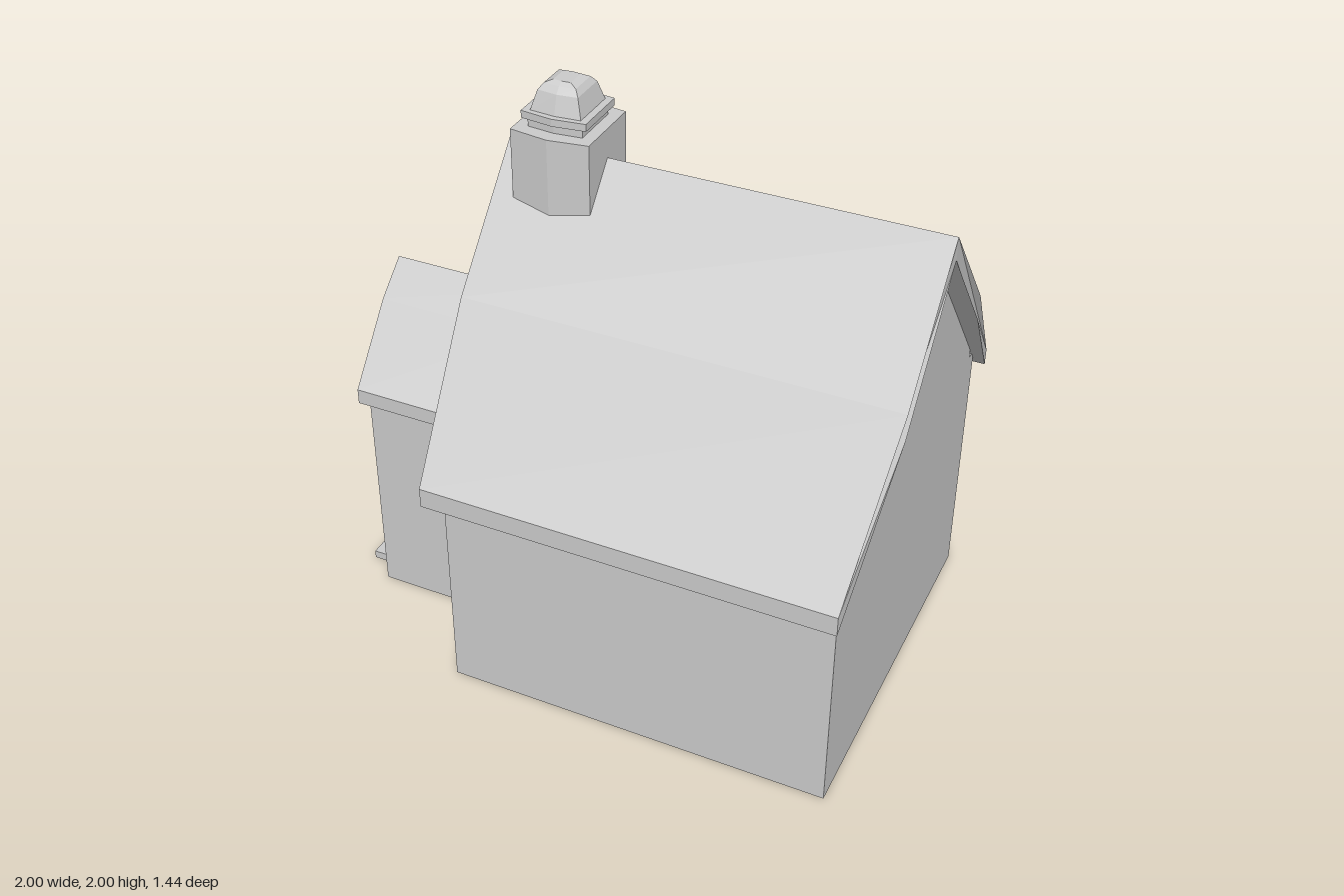
import * as THREE from 'three';

const material = new THREE.MeshStandardMaterial({ color: 0xcccccc, flatShading: true });
const RIDGE_Z = -0.03;

function add(group, name, geometry) {
  const mesh = new THREE.Mesh(geometry, material);
  mesh.name = name;
  group.add(mesh);
  return mesh;
}

// Closed outline from [x, y] points
const outline = (pts, Type = THREE.Shape) => new Type(pts.map(([a, b]) => new THREE.Vector2(a, b)));

// Extrude a [z, y] section along x from x0 to x1, optionally with a hole
function extrudeX(section, x0, x1, hole) {
  const flip = (pts) => pts.map(([z, y]) => [-z, y]);
  const shape = outline(flip(section));
  if (hole) shape.holes.push(outline(flip(hole), THREE.Path));
  return new THREE.ExtrudeGeometry(shape, { depth: x1 - x0, bevelEnabled: false })
    .rotateY(Math.PI / 2).translate(x0, 0, 0);
}

// Arched opening between a0 and a1, rising from spring to top
function arch(a0, a1, bottom, spring, top) {
  const pts = [[a0, bottom], [a1, bottom]], mid = (a0 + a1) / 2, half = (a1 - a0) / 2;
  for (let i = 0; i <= 6; i++) {
    const t = (i / 6) * Math.PI;
    pts.push([mid + half * Math.cos(t), spring + (top - spring) * Math.sin(t)]);
  }
  return pts;
}

// Pull the roof ends in towards the eaves
function taperEnds(geometry, start, end, left, right) {
  const p = geometry.attributes.position;
  const middle = (geometry.boundingBox.min.x + geometry.boundingBox.max.x) / 2;
  for (let i = 0; i < p.count; i++) {
    const t = Math.max(0, (Math.abs(p.getZ(i) - RIDGE_Z) - start) / (end - start));
    p.setX(i, p.getX(i) + (p.getX(i) < middle ? left : -right) * t);
  }
  geometry.computeVertexNormals();
  return geometry;
}

function roof(section, x0, x1, start, end, left, right) {
  const geometry = extrudeX(section, x0, x1);
  geometry.computeBoundingBox();
  return taperEnds(geometry, start, end, left, right);
}

// Stacked six-sided rings [y, halfX, halfZ, bulge] joined into a closed solid
function loft(rings, cx, cz) {
  const pos = [], n = 6;
  const corners = rings.map(([y, hx, hz, bulge]) => [
    [-hx, hz], [0, hz + bulge], [hx, hz], [hx, -hz], [0, -hz - bulge], [-hx, -hz],
  ].map(([x, z]) => [cx + x, y, cz + z]));
  for (let i = 0; i < n; i++) {
    const j = (i + 1) % n;
    for (let r = 0; r < rings.length - 1; r++) {
      const a = corners[r][i], b = corners[r][j], c = corners[r + 1][j], d = corners[r + 1][i];
      pos.push(...a, ...b, ...c, ...a, ...c, ...d);
    }
    const low = corners[0], high = corners[rings.length - 1];
    pos.push(cx, rings[0][0], cz, ...low[j], ...low[i]);
    pos.push(cx, rings[rings.length - 1][0], cz, ...high[i], ...high[j]);
  }
  const geometry = new THREE.BufferGeometry();
  geometry.setAttribute('position', new THREE.Float32BufferAttribute(pos, 3));
  geometry.computeVertexNormals();
  return geometry;
}

function box(x0, x1, y0, y1, z0, z1) {
  return new THREE.BoxGeometry(x1 - x0, y1 - y0, z1 - z0)
    .translate((x0 + x1) / 2, (y0 + y1) / 2, (z0 + z1) / 2);
}

export function createModel() {
  const model = new THREE.Group();
  model.name = 'chapel';

  // Main hall with a separate back wall that holds the window recesses
  const hall = new THREE.Group();
  hall.name = 'hall';
  model.add(hall);
  add(hall, 'hallWalls', extrudeX(
    [[0.63, 0], [0.63, 0.93], [RIDGE_Z, 1.71], [-0.635, 0.99], [-0.635, 0]], -0.42, 0.93));
  const backShape = outline([[-0.42, 0], [0.93, 0], [0.93, 0.93], [-0.42, 0.93]]);
  for (const [x0, x1] of [[0.52, 0.775], [-0.155, 0.08]]) {
    backShape.holes.push(outline(arch(x0, x1, 0.31, 0.68, 0.78), THREE.Path));
  }
  add(hall, 'backWallWithWindows', new THREE.ExtrudeGeometry(backShape, { depth: 0.05, bevelEnabled: false })
    .translate(0, 0, -0.685));
  add(hall, 'hallRoof', roof([
    [0.72, 0.79], [0.72, 0.86], [0.33, 1.345], [RIDGE_Z, 1.75], [-0.39, 1.34], [-0.72, 0.92],
    [-0.72, 0.86], [-0.39, 1.25], [RIDGE_Z, 1.67], [0.33, 1.25],
  ], -0.49, 1, 0.36, 0.75, 0.04, 0.04));

  // Entrance porch with an arched doorway
  const porch = new THREE.Group();
  porch.name = 'porch';
  model.add(porch);
  const porchSection = [[0.305, 0], [0.305, 0.85], [RIDGE_Z, 1.15], [-0.365, 0.85], [-0.365, 0]];
  add(porch, 'porchWalls', extrudeX(porchSection, -0.83, -0.42));
  add(porch, 'porchFrontWithDoorway',
    extrudeX(porchSection, -0.9, -0.83, arch(-0.16, 0.1, 0.06, 0.58, 0.65)));
  add(porch, 'porchRoof', roof([
    [0.335, 0.8], [0.335, 0.855], [0.09, 1.075], [RIDGE_Z, 1.18], [-0.15, 1.075], [-0.4, 0.855],
    [-0.4, 0.8], [-0.15, 1.02], [RIDGE_Z, 1.125], [0.09, 1.02],
  ], -0.955, -0.42, 0.12, 0.365, 0.03, 0));
  add(porch, 'lowerStep', box(-1, -0.88, 0, 0.03, -0.3, 0.23));
  add(porch, 'upperStep', box(-0.96, -0.88, 0.03, 0.06, -0.17, 0.1));

  // Ridge turret: shaft, neck, slab and faceted cap
  const turret = new THREE.Group();
  turret.name = 'turret';
  model.add(turret);
  const parts = {
    turretShaft: [[1.57, 0.137, 0.13, 0.02], [1.85, 0.137, 0.13, 0.02]],
    turretNeck: [[1.85, 0.095, 0.09, 0.01], [1.88, 0.095, 0.09, 0.01]],
    turretSlab: [[1.88, 0.113, 0.1, 0.014], [1.905, 0.113, 0.1, 0.014]],
    turretCap: [[1.905, 0.088, 0.085, 0.008], [1.97, 0.07, 0.066, 0.008],
      [1.99, 0.055, 0.05, 0.005], [2, 0.03, 0.035, 0.003]],
  };
  for (const [name, rings] of Object.entries(parts)) add(turret, name, loft(rings, -0.28, -0.033));

  return model;
}
